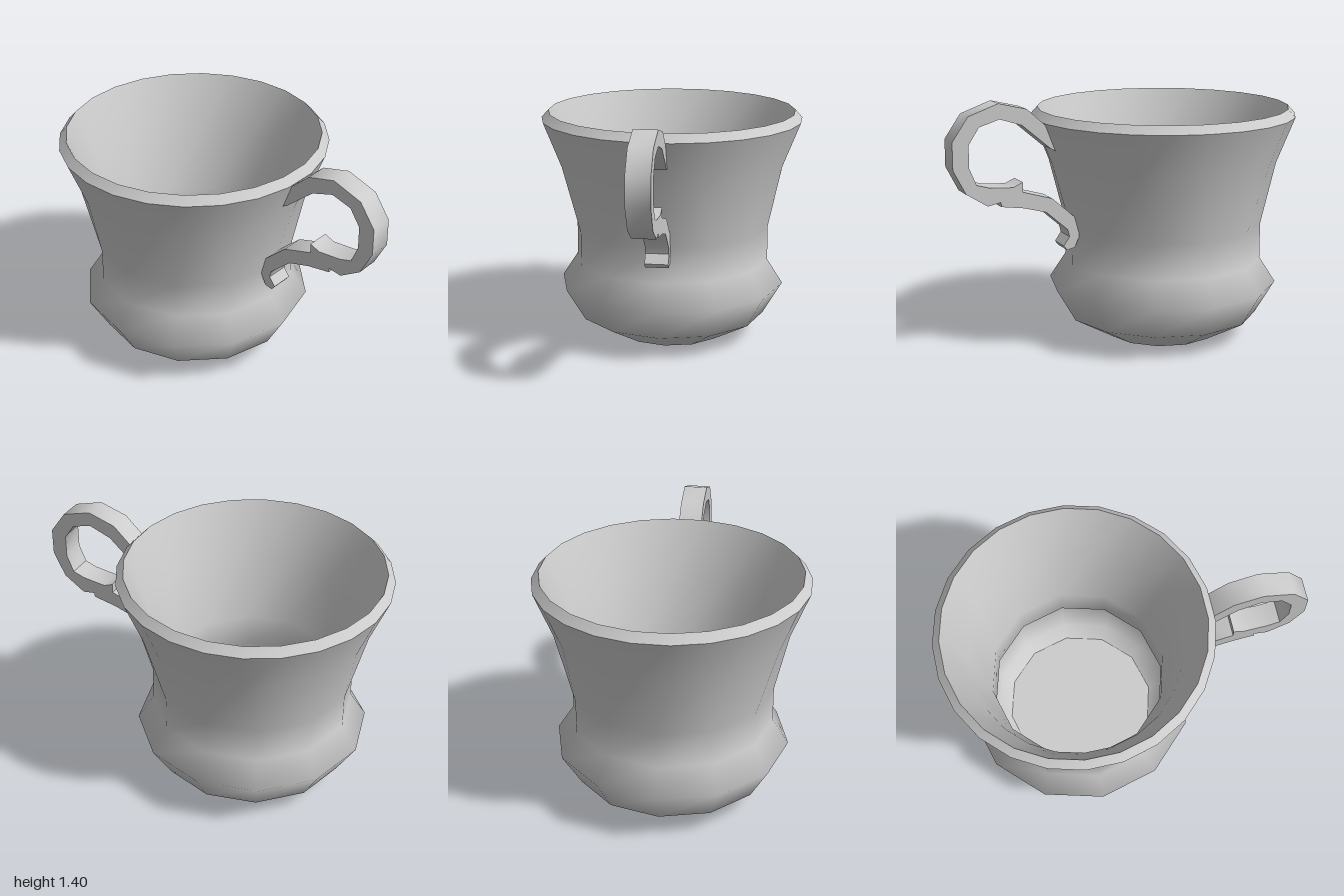
import * as THREE from 'three';
import { mergeVertices, toCreasedNormals } from 'three/addons/utils/BufferGeometryUtils.js';

const SIDES = 12;
const CENTRE_X = -0.26;
const material = new THREE.MeshStandardMaterial({ color: 0xcccccc });

// Rings [radius, y, split]: a split ring doubles every corner of the 12-gon, giving 24 sides.
function loft(rings) {
  const n = SIDES * 2, pos = [], index = [];
  for (const [r, y, split] of rings) {
    for (let i = 0; i < n; i++) {
      const spread = split ? (i % 2 ? 0.25 : -0.25) : 0;
      const a = (Math.floor(i / 2) + spread) * Math.PI * 2 / SIDES;
      pos.push(r * Math.sin(a), y, r * Math.cos(a));
    }
  }
  for (let j = 0; j < rings.length - 1; j++) {
    for (let i = 0; i < n; i++) {
      const a = j * n + i, b = j * n + (i + 1) % n;
      index.push(a, b, b + n, a, b + n, a + n);
    }
  }
  let g = new THREE.BufferGeometry();
  g.setAttribute('position', new THREE.Float32BufferAttribute(pos, 3));
  g.setIndex(index);
  g = mergeVertices(g, 1e-4);

  // drop the triangles that collapsed where corners coincide
  const src = g.index.array, kept = [];
  for (let i = 0; i < src.length; i += 3) {
    const [a, b, c] = [src[i], src[i + 1], src[i + 2]];
    if (a !== b && b !== c && a !== c) kept.push(a, b, c);
  }
  g.setIndex(kept);
  g.computeVertexNormals();
  return g;
}

export function createModel() {
  const group = new THREE.Group();
  group.name = 'cup';
  const add = (name, geometry, parent) => {
    const mesh = new THREE.Mesh(geometry, material);
    mesh.name = name;
    parent.add(mesh);
  };

  // Bowl: separate strips keep the rim, floor and base edges sharp
  const bowl = new THREE.Group();
  bowl.name = 'bowl';
  bowl.position.x = CENTRE_X;
  group.add(bowl);
  add('base', loft([[0, 0], [0.31, 0]]), bowl);
  add('outerWall', loft([
    [0.31, 0], [0.54, 0.125], [0.65, 0.31], [0.56, 0.45],
    [0.56, 0.65], [0.645, 1.02, true], [0.746, 1.275, true],
  ]), bowl);
  add('rim', loft([[0.746, 1.275, true], [0.705, 1.32, true]]), bowl);
  add('innerWall', loft([
    [0.705, 1.32, true], [0.58, 1.02, true], [0.49, 0.65],
    [0.485, 0.46], [0.57, 0.31], [0.49, 0.18], [0.42, 0.13],
  ]), bowl);
  add('floor', loft([[0.42, 0.13], [0, 0.13]]), bowl);

  // Handle: ear-shaped outline with a thumb notch and curled foot
  const outline = [
    [0.42, 1.21], [0.48, 1.27], [0.58, 1.36], [0.74, 1.40], [0.91, 1.34], [1, 1.21],
    [1, 1.06], [0.93, 0.925], [0.81, 0.85], [0.735, 0.865], [0.735, 0.84], [0.60, 0.82],
    [0.475, 0.785], [0.35, 0.675], [0.34, 0.635], [0.375, 0.585], [0.355, 0.56],
    [0.31, 0.57], [0.28, 0.635], [0.31, 0.745], [0.44, 0.86], [0.61, 0.91], [0.61, 0.965],
    [0.665, 0.94], [0.80, 0.95], [0.87, 0.97], [0.91, 1.065], [0.91, 1.19], [0.85, 1.28],
    [0.735, 1.315], [0.61, 1.275], [0.445, 1.135], [0.415, 1.12],
  ];
  const shape = new THREE.Shape(outline.map(([x, y]) => new THREE.Vector2(x, y)));
  const handle = new THREE.ExtrudeGeometry(shape, { depth: 0.13, bevelEnabled: false });
  handle.translate(0, 0, -0.065);
  add('handle', toCreasedNormals(handle, 0.75), group);

  return group;
}
